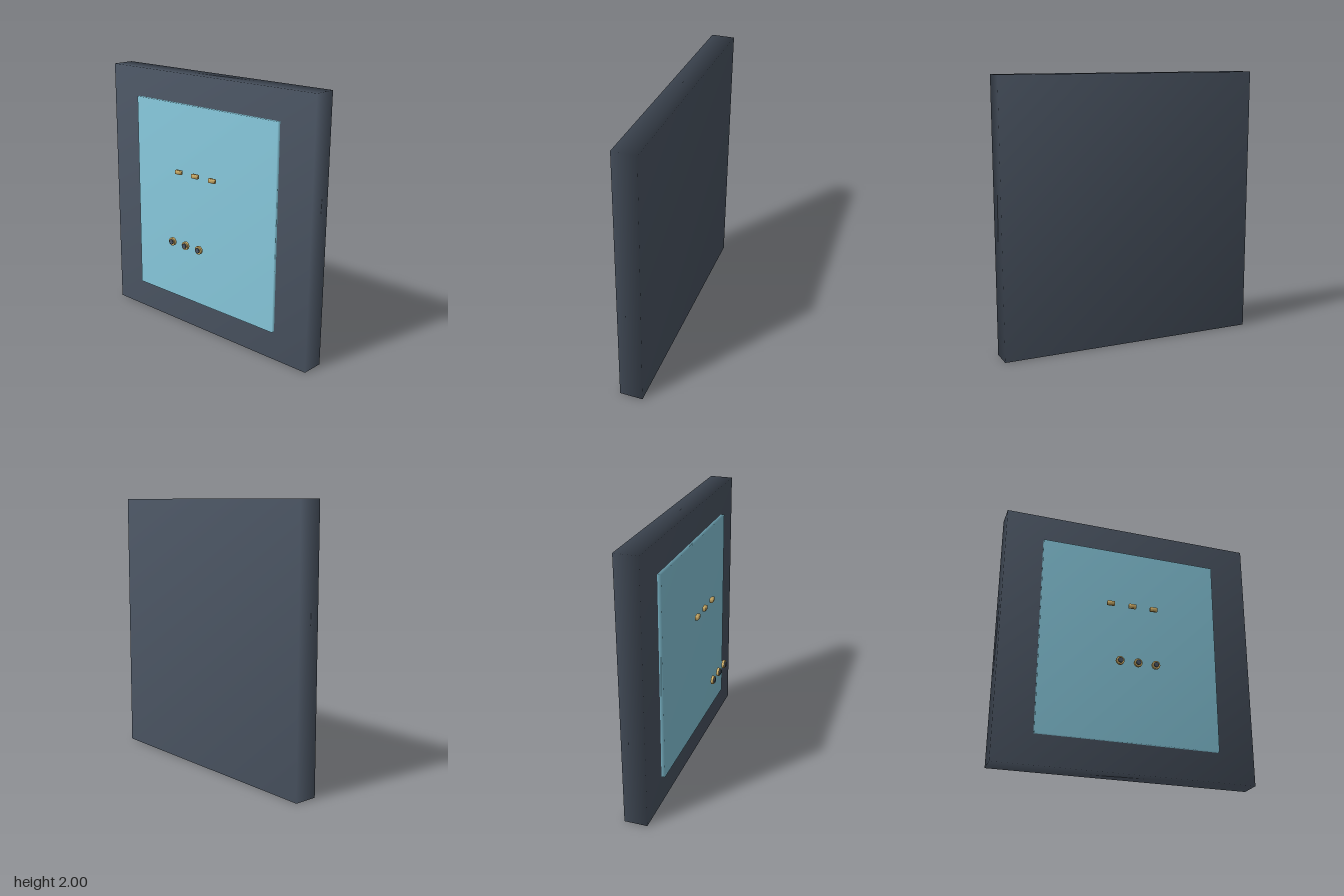
import * as THREE from 'three';
import { mergeVertices } from 'three/addons/utils/BufferGeometryUtils.js';

const mat = (name, color) => {
  const m = new THREE.MeshStandardMaterial({ color });
  m.name = name;
  return m;
};

// Box whose corners share one averaged normal, for soft shading across faces
function softBox(w, h, d) {
  let g = new THREE.BoxGeometry(w, h, d);
  g.deleteAttribute('normal');
  g.deleteAttribute('uv');
  g = mergeVertices(g);
  g.computeVertexNormals();
  return g;
}

export function createModel() {
  const model = new THREE.Group();
  model.name = 'wallPanel';
  const slate = mat('slate', 0x4b5563);
  const blue = mat('paleBlue', 0x87c8dc);
  const brass = mat('brass', 0xd0b06a);

  const add = (name, geometry, material, x, y, z, parent = model) => {
    const mesh = new THREE.Mesh(geometry, material);
    mesh.name = name;
    mesh.position.set(x, y, z);
    parent.add(mesh);
    return mesh;
  };

  // Backing slab and raised front panel
  add('backSlab', softBox(1.97, 2, 0.174), slate, 0, 1, -0.113);
  add('frontPanel', softBox(1.39, 1.552, 0.03), blue, 0, 1.002, -0.014);

  // Upper row of small bars
  const bar = softBox(0.056, 0.03, 0.023);
  for (const x of [-0.175, -0.005, 0.165]) add('bar', bar, brass, x, 1.278, 0.073);

  // Lower row of round buttons: brass disc with a dark raised centre
  const disc = new THREE.CylinderGeometry(0.031, 0.031, 0.018, 24).rotateX(Math.PI / 2);
  const cap = new THREE.CylinderGeometry(0.019, 0.019, 0.022, 24).rotateX(Math.PI / 2);
  for (const x of [-0.136, 0, 0.136]) {
    const button = new THREE.Group();
    button.name = 'button';
    button.position.set(x, 0.767, 0);
    model.add(button);
    add('buttonDisc', disc, brass, 0, 0, 0.182, button);
    add('buttonCap', cap, slate, 0, 0, 0.189, button);
  }
  return model;
}
